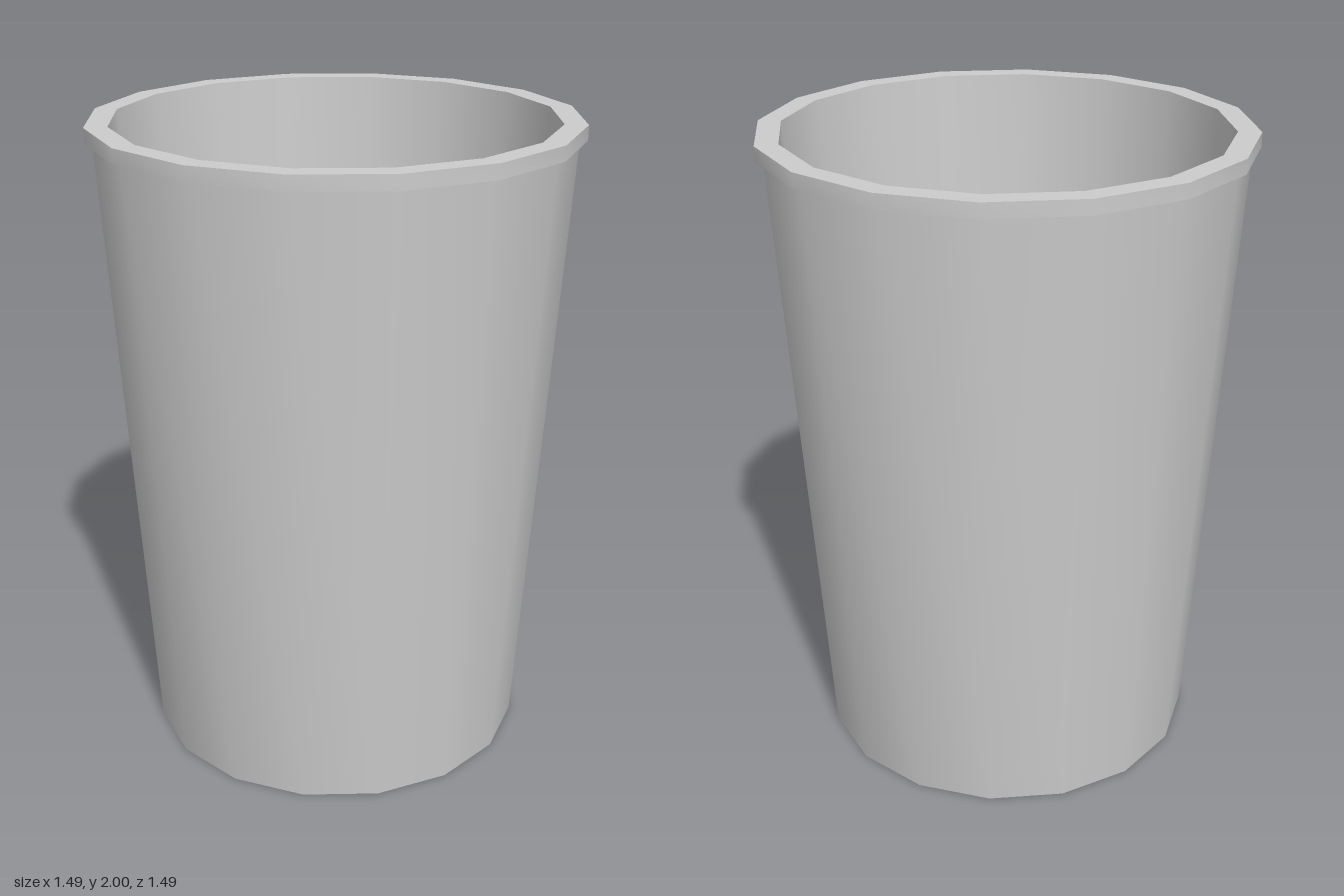
import * as THREE from 'three';
import { toCreasedNormals } from 'three/addons/utils/BufferGeometryUtils.js';

const SIDES = 16;
const material = new THREE.MeshStandardMaterial({ color: 0xcccccc });

// Revolve a [radius, height] profile, smooth around and sharp at profile corners
function revolve(name, profile) {
  const points = profile.map(([r, y]) => new THREE.Vector2(r, y));
  const geometry = toCreasedNormals(new THREE.LatheGeometry(points, SIDES), Math.PI / 5);
  const mesh = new THREE.Mesh(geometry, material);
  mesh.name = name;
  return mesh;
}

export function createModel() {
  const group = new THREE.Group();
  group.name = 'openTaperedCup';

  // Tapered wall with thickness: inner face, bottom ring, outer face (no floor)
  group.add(revolve('wall', [[0.675, 2], [0.555, 0], [0.6, 0], [0.722, 1.955]]));

  // Narrow lip standing proud of the wall
  group.add(revolve('rim', [[0.722, 1.955], [0.745, 1.955], [0.745, 2], [0.675, 2]]));

  return group;
}
